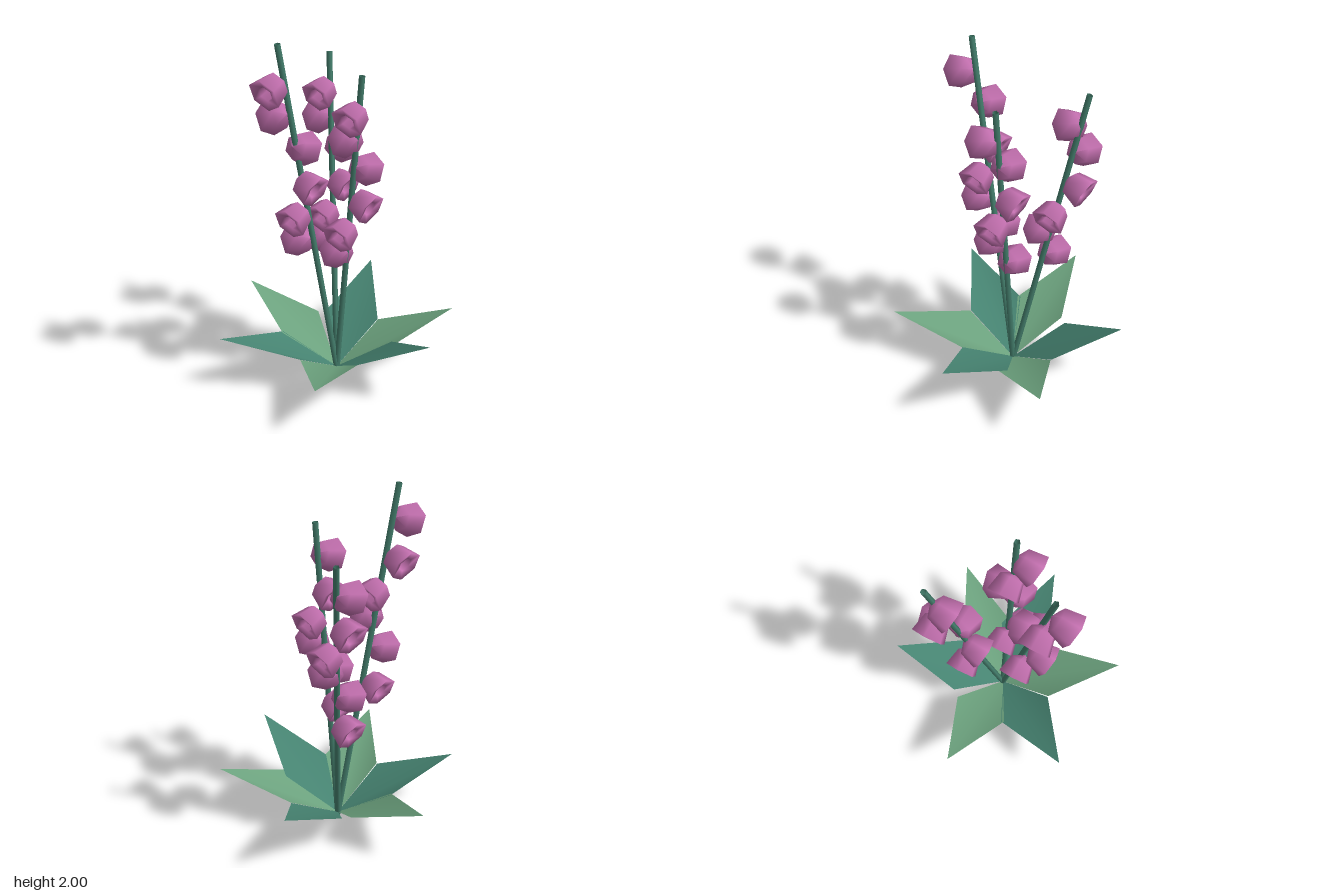
import * as THREE from 'three';

const mat = (name, color, side = THREE.FrontSide) => {
  const m = new THREE.MeshStandardMaterial({ color, side });
  m.name = name;
  return m;
};

export function createModel() {
  const pink = mat('bellPink', 0xc26fae);
  const teal = mat('stemTeal', 0x45806e, THREE.DoubleSide);
  const tealLeaf = mat('leafTeal', 0x468371, THREE.DoubleSide);
  const greenLeaf = mat('leafGreen', 0x6ca27e, THREE.DoubleSide);
  const root = new THREE.Group();
  root.name = 'bellFlowerPlant';
  const base = new THREE.Vector3(0.007, 0, -0.006);

  // Six-sided bell: apex at the origin, mouth towards +y, lip folding into a narrow cavity
  const profile = [[0, -0.005], [0.07, 0.027], [0.095, 0.131], [0.044, 0.117], [0.042, 0.025], [0, 0.012]];
  const bellGeo = new THREE.LatheGeometry(profile.map(([x, y]) => new THREE.Vector2(x, y)), 6);

  // Straight leaning stems, each with six bells spiralling down by quarter turns
  const stems = [
    { top: [-0.098, 1.997, 0.33], first: 1.806, step: 0.184, lift: 0.11, size: 1 },
    { top: [-0.274, 1.78, -0.283], first: 1.606, step: 0.167, lift: 0.05, size: 1 },
    { top: [0.165, 1.8, -0.015], first: 1.624, step: 0.168, lift: 0.12, size: 1 },
  ];
  const up = new THREE.Vector3(0, 1, 0);
  for (const s of stems) {
    const flower = new THREE.Group();
    flower.name = 'flowerStalk';
    const top = new THREE.Vector3(...s.top);
    const dir = top.clone().sub(base);
    const stem = new THREE.Mesh(new THREE.CylinderGeometry(0.017, 0.017, dir.length(), 5, 1, true), teal);
    stem.name = 'stem';
    stem.position.copy(base).add(top).multiplyScalar(0.5);
    stem.quaternion.setFromUnitVectors(up, dir.clone().normalize());
    flower.add(stem);
    for (let k = 0; k < 6; k++) {
      const y = s.first - k * s.step;
      const bell = new THREE.Mesh(bellGeo, pink);
      bell.name = 'bell';
      bell.position.lerpVectors(base, top, (y + s.lift) / top.y).setY(y);
      // mouth points outward and about 21 degrees down
      bell.rotation.set(THREE.MathUtils.degToRad(111.4), -k * Math.PI / 2, 0, 'YXZ');
      bell.scale.setScalar(s.size);
      flower.add(bell);
    }
    root.add(flower);
  }

  // Kite-shaped leaves, folded a little along the spine: tip x, y, z and colour
  const leaves = [
    [0.652, 0.39, -0.006, tealLeaf],
    [0.356, 0.3, 0.597, greenLeaf],
    [-0.352, 0.325, 0.572, tealLeaf],
    [-0.655, 0.347, -0.002, greenLeaf],
    [-0.212, 0.39, -0.604, tealLeaf],
    [0.454, 0.335, -0.51, greenLeaf],
  ];
  for (const [x, y, z, material] of leaves) {
    const dx = x - base.x, dz = z - base.z;
    const geo = new THREE.BufferGeometry();
    geo.setAttribute('position', new THREE.Float32BufferAttribute(
      [0, 0.01, 0, 0.16, 0.205, 0.272, -0.16, 0.205, 0.272, 0, y, Math.hypot(dx, dz)], 3));
    geo.setIndex([0, 3, 1, 0, 2, 3]);
    geo.computeVertexNormals();
    const leaf = new THREE.Mesh(geo, material);
    leaf.name = 'leaf';
    leaf.position.copy(base);
    leaf.rotation.y = Math.atan2(dx, dz);
    root.add(leaf);
  }
  return root;
}
